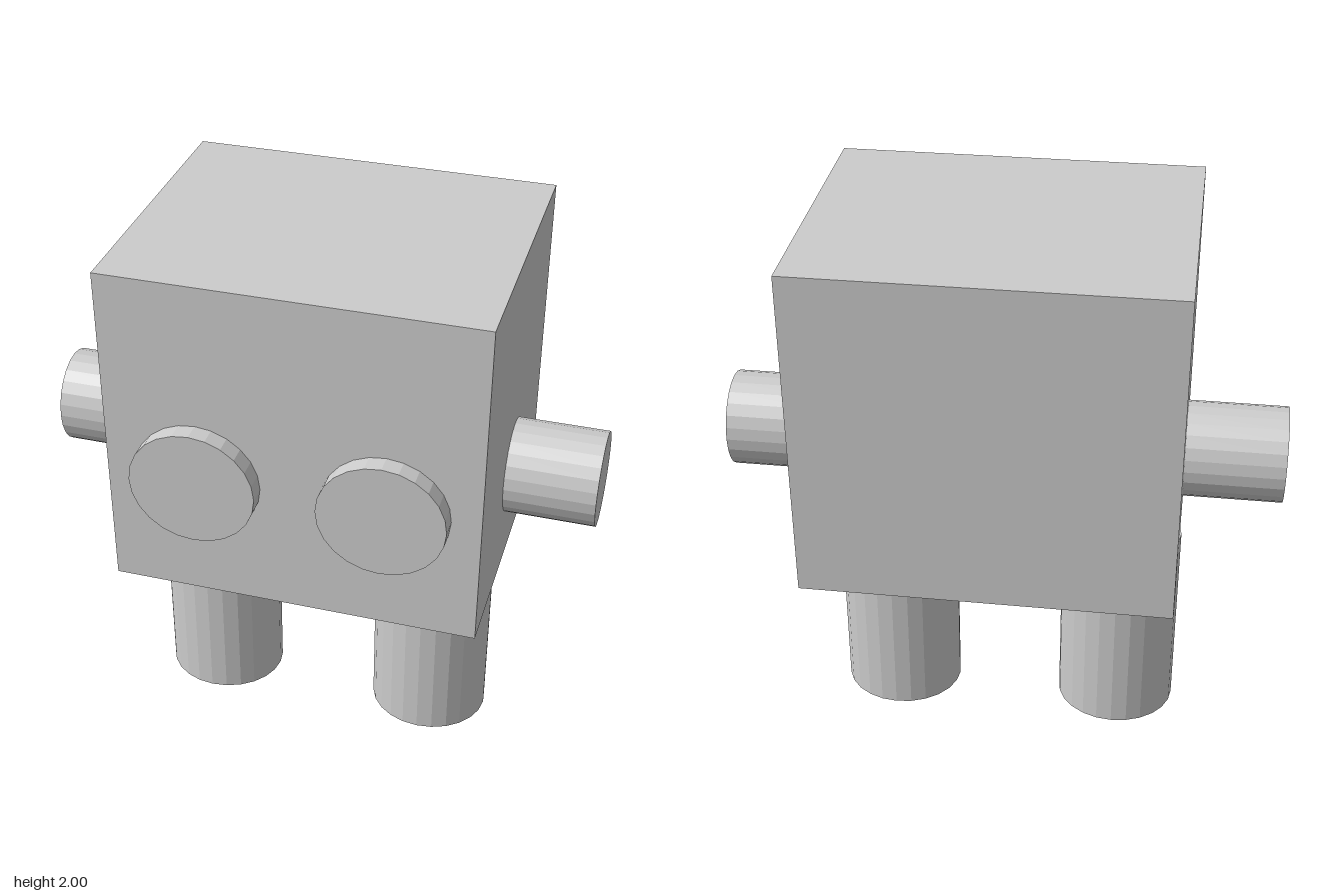
import * as THREE from 'three';

export function createModel() {
  const model = new THREE.Group();
  model.name = 'blockRobot';
  const grey = new THREE.MeshStandardMaterial({ color: 0xcccccc, flatShading: true });
  grey.name = 'plain grey';

  const add = (name, geometry, x, y, z) => {
    const mesh = new THREE.Mesh(geometry, grey);
    mesh.name = name;
    mesh.position.set(x, y, z);
    model.add(mesh);
  };

  // Slightly oval cylinder along y
  const oval = (rx, rz, length) =>
    new THREE.CylinderGeometry(1, 1, length, 24).scale(rx, 1, rz);

  // Square body
  add('body', new THREE.BoxGeometry(1.32, 1.222, 1.057), 0.014, 1.389, -0.034);

  // Legs, just clear of the body
  add('rightLeg', oval(0.222, 0.205, 0.76), -0.43, 0.38, -0.028);
  add('leftLeg', oval(0.222, 0.205, 0.756), 0.414, 0.378, -0.028);

  // Arms, pointing straight out to the sides
  for (const [name, inner, outer] of [['rightArm', -0.635, -1], ['leftArm', 0.665, 1]]) {
    const arm = oval(0.175, 0.164, Math.abs(outer - inner)).rotateZ(Math.PI / 2);
    add(name, arm, (inner + outer) / 2, 1.15, -0.044);
  }

  // Round eyes on the front face
  for (const [name, x] of [['rightEye', -0.318], ['leftEye', 0.345]]) {
    add(name, oval(0.225, 0.214, 0.078).rotateX(Math.PI / 2), x, 1.256, 0.523);
  }

  return model;
}
